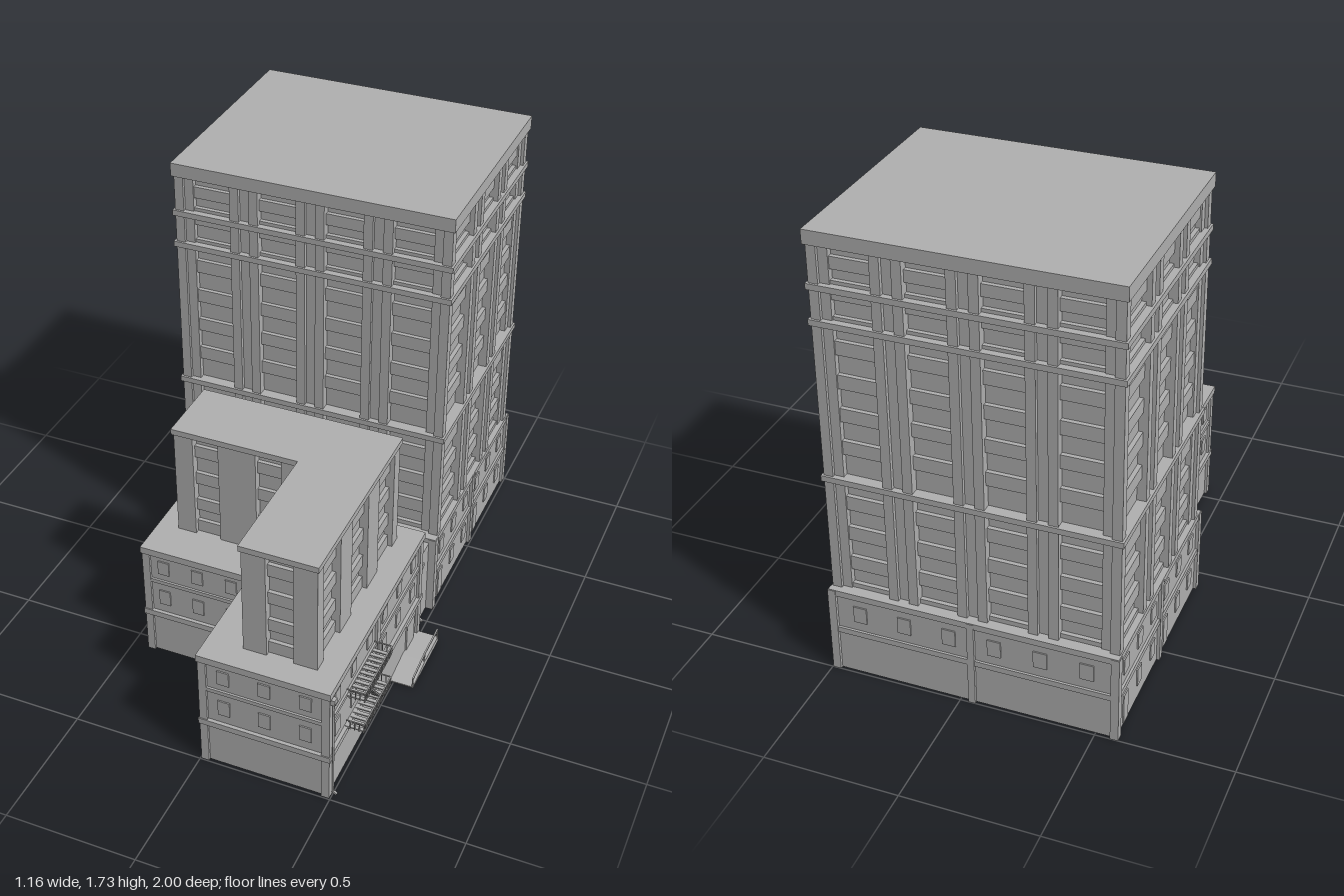
import * as THREE from 'three';

const stone = new THREE.MeshStandardMaterial({ color: 0xb0b0b0 });
stone.name = 'grey stone';

export function createModel() {
  const model = new THREE.Group();
  model.name = 'building';

  const section = (name) => {
    const g = new THREE.Group();
    g.name = name;
    model.add(g);
    return g;
  };
  // Box from its lower and upper limits
  const box = (parent, name, x0, x1, y0, y1, z0, z1) => {
    const m = new THREE.Mesh(new THREE.BoxGeometry(x1 - x0, y1 - y0, z1 - z0), stone);
    m.position.set((x0 + x1) / 2, (y0 + y1) / 2, (z0 + z1) / 2);
    m.name = name;
    parent.add(m);
    return m;
  };
  // Square bar between two points
  const bar = (parent, name, a, b, t) => {
    const p = new THREE.Vector3(...a), q = new THREE.Vector3(...b);
    const m = new THREE.Mesh(new THREE.BoxGeometry(t, t, p.distanceTo(q)), stone);
    m.position.copy(p).lerp(q, 0.5);
    m.lookAt(q);
    m.name = name;
    parent.add(m);
  };
  // Upright prism over a plan of [x, z] points, with an optional hollow
  const prism = (parent, name, plan, y0, y1, hollow) => {
    const flat = (pts) => pts.map(([x, z]) => new THREE.Vector2(x, -z));
    const s = new THREE.Shape(flat(plan));
    if (hollow) s.holes.push(new THREE.Path(flat(hollow)));
    const g = new THREE.ExtrudeGeometry(s, { depth: y1 - y0, bevelEnabled: false });
    g.rotateX(-Math.PI / 2);
    g.translate(0, y0, 0);
    const m = new THREE.Mesh(g, stone);
    m.name = name;
    parent.add(m);
  };
  // Plans run front, right, back, left so that walls face outward
  const rect = (x0, x1, z0, z1, o = 0) =>
    [[x0 + o, z1 - o], [x1 - o, z1 - o], [x1 - o, z0 + o], [x0 + o, z0 + o]];
  const ell = (x0, x1, xi, z0, zi, z1, o = 0) => [
    [x0 + o, zi - o], [xi + o, zi - o], [xi + o, z1 - o],
    [x1 - o, z1 - o], [x1 - o, z0 + o], [x0 + o, z0 + o]];
  // Calls fn for each wall with its length and a helper that places boxes on it
  const eachWall = (parent, plan, fn) => plan.forEach(([ax, az], i) => {
    const [bx, bz] = plan[(i + 1) % plan.length];
    const g = new THREE.Group();
    g.name = 'wall' + (i + 1);
    g.position.set((ax + bx) / 2, 0, (az + bz) / 2);
    g.rotation.y = Math.atan2(az - bz, bx - ax);
    parent.add(g);
    fn(Math.hypot(bx - ax, bz - az), (name, x, w, y0, y1, inset, depth) =>
      box(g, name, x - w / 2, x + w / 2, y0, y1, -inset - depth, -inset), i);
  });

  // Tower base, open underneath
  const base = section('towerBase');
  const basePlan = (o) => rect(-0.585, 0.497, -1, -0.073, o);
  prism(base, 'lowerWalls', basePlan(0.012), 0, 0.17, basePlan(0.035));
  prism(base, 'upperStorey', basePlan(0.012), 0.165, 0.345);
  prism(base, 'storeyBand', basePlan(0.003), 0.165, 0.187, basePlan(0.03));
  prism(base, 'topBand', basePlan(0.003), 0.323, 0.347);
  eachWall(base, basePlan(0), (len, put, side) => {
    for (const x of [-len / 2 + 0.013, 0, len / 2 - 0.013])
      put('post', x, 0.026, 0, 0.345, 0, 0.03);
    for (let i = 0; i < 6; i++) {
      const x = (i - 2.5) * len / 6.4;
      put('window', x, 0.05, 0.225, 0.29, 0.007, 0.008);
      if (side % 2) put('lowerWindow', x, 0.045, i % 3 ? 0.06 : 0.01, 0.13, 0.007, 0.008);
    }
  });

  // Tower shaft with pilasters, recessed bays and spandrels
  const tower = section('tower');
  const shaft = (o) => rect(-0.585, 0.497, -0.98, -0.1, o);
  prism(tower, 'core', shaft(0.042), 0.34, 1.7);
  prism(tower, 'cornice', shaft(0), 1.68, 1.732);
  for (const y of [0.79, 1.39, 1.52]) prism(tower, 'beltBand', shaft(0), y, y + 0.022);
  const spandrels = [[0.345, 0.365], [0.425, 0.48], [0.55, 0.605], [0.675, 0.73],
    [0.9, 0.953], [1.028, 1.08], [1.155, 1.208], [1.283, 1.335],
    [1.41, 1.425], [1.485, 1.52], [1.54, 1.555], [1.595, 1.64]];
  eachWall(tower, shaft(0.008), (len, put, side) => {
    const n = side % 2 ? 3 : 4, end = 0.07, mid = 0.11;
    const bay = (len - 2 * end - (n - 1) * mid) / n;
    for (const s of [-1, 1]) {
      put('cornerPilaster', s * (len / 2 - 0.0175), 0.035, 0.34, 1.69, 0, 0.035);
      put('cornerStrip', s * (len / 2 - 0.0525), 0.035, 0.34, 1.69, 0.012, 0.025);
    }
    for (let i = 0; i < n; i++) {
      const x = -len / 2 + end + bay / 2 + i * (bay + mid);
      for (const [y0, y1] of spandrels) put('spandrel', x, bay, y0, y1, 0.018, 0.02);
      if (i === n - 1) continue;
      const c = x + (bay + mid) / 2;
      put('pierStrip', c, 0.04, 0.34, 1.69, 0.015, 0.025);
      for (const s of [-1, 1]) put('pilaster', c + s * 0.0375, 0.035, 0.34, 1.69, 0, 0.035);
    }
  });

  // Link between tower and annex
  const link = section('link');
  box(link, 'linkBody', 0.02, 0.468, 0, 0.327, -0.09, 0.09);

  // L-shaped annex, open underneath
  const annex = section('annex');
  const lower = (o) => ell(-0.44, 0.5, 0, 0.07, 0.56, 1, o);
  prism(annex, 'groundWalls', lower(0.014), 0, 0.185, lower(0.04));
  prism(annex, 'middleStoreys', lower(0.014), 0.18, 0.48);
  prism(annex, 'storeyBand', lower(0), 0.178, 0.202, lower(0.035));
  prism(annex, 'thinBand', lower(0.006), 0.34, 0.356);
  prism(annex, 'cornice', lower(0), 0.472, 0.5);
  eachWall(annex, lower(0.004), (len, put, side) => {
    const posts = len > 0.7 ? 3 : 2;
    for (let i = 0; i < posts; i++)
      put('post', (i / (posts - 1) - 0.5) * (len - 0.028), 0.028, 0, 0.48, 0, 0.03);
    const n = Math.round(len / 0.15);
    for (let i = 0; i < n; i++) {
      const x = (i - (n - 1) / 2) * len / (n + 0.2);
      put('window', x, 0.045, 0.24, 0.305, 0.005, 0.008);
      put('window', x, 0.045, 0.385, 0.445, 0.005, 0.008);
      if (side === 4) put('groundWindow', x, 0.045, 0.07, 0.14, 0.005, 0.008);
    }
  });

  // Upper annex block with wide piers
  const upper = section('upperAnnex');
  const block = (o) => ell(-0.365, 0.42, 0.13, 0.137, 0.412, 0.912, o);
  prism(upper, 'core', block(0.04), 0.5, 0.94);
  prism(upper, 'roofCap', block(0), 0.934, 0.957);
  eachWall(upper, block(0.007), (len, put) => {
    const n = len > 0.7 ? 3 : len > 0.4 ? 2 : 1;
    const bay = len > 0.7 ? 0.15 : 0.1, step = len / n;
    for (let i = 0; i < n; i++) {
      const x = (i + 0.5) * step - len / 2, w = (step - bay) / 2;
      for (const s of [-1, 1]) put('pier', x + s * (bay + w) / 2, w, 0.5, 0.94, 0, 0.035);
      for (const y of [0.5, 0.6, 0.72, 0.84]) put('spandrel', x, bay, y, y + 0.05, 0.018, 0.02);
    }
  });

  // Fire escape with two railed balconies and a stair
  const escape = section('fireEscape');
  for (const y of [0.2, 0.348]) {
    for (let i = 0; i < 11; i++)
      box(escape, 'slat', 0.49, 0.562, y, y + 0.005, 0.58 + i * 0.0242, 0.594 + i * 0.0242);
    for (const x of [0.505, 0.56]) bar(escape, 'floorBeam', [x, y, 0.58], [x, y, 0.84], 0.005);
    bar(escape, 'handrail', [0.562, y + 0.038, 0.58], [0.562, y + 0.038, 0.84], 0.005);
    for (let i = 0; i <= 20; i++) {
      const z = 0.58 + i * 0.013;
      bar(escape, 'baluster', [0.562, y, z], [0.562, y + 0.038, z], 0.003);
    }
    for (const z of [0.58, 0.84]) {
      bar(escape, 'endRail', [0.495, y + 0.038, z], [0.562, y + 0.038, z], 0.004);
      for (const x of [0.51, 0.527, 0.544])
        bar(escape, 'endBaluster', [x, y, z], [x, y + 0.038, z], 0.003);
    }
  }
  for (const x of [0.523, 0.55])
    bar(escape, 'stairStringer', [x, 0.2, 0.65], [x, 0.348, 0.765], 0.005);
  for (let i = 1; i < 10; i++) {
    const y = 0.2 + i * 0.0148, z = 0.65 + i * 0.0115;
    box(escape, 'tread', 0.523, 0.55, y, y + 0.003, z - 0.006, z + 0.006);
  }

  // Entrance landing, ramp and rail
  const entrance = section('entranceRamp');
  const side = new THREE.Shape([[-0.37, 0], [-0.09, 0], [-0.09, 0.024], [-0.24, 0.024], [-0.37, 0.005]]
    .map(([a, b]) => new THREE.Vector2(a, b)));
  const rampGeo = new THREE.ExtrudeGeometry(side, { depth: 0.092, bevelEnabled: false });
  rampGeo.rotateY(Math.PI / 2);
  const ramp = new THREE.Mesh(rampGeo, stone);
  ramp.name = 'ramp';
  ramp.position.x = 0.486;
  entrance.add(ramp);
  const railX = 0.575;
  bar(entrance, 'rail', [railX, 0.062, 0.095], [railX, 0.062, 0.24], 0.006);
  bar(entrance, 'slopedRail', [railX, 0.062, 0.24], [railX, 0.043, 0.367], 0.006);
  for (const [z, y] of [[0.095, 0.064], [0.24, 0.064], [0.367, 0.045]])
    bar(entrance, 'railPost', [railX, 0, z], [railX, y, z], 0.005);
  box(entrance, 'door', 0.48, 0.492, 0.024, 0.14, 0.13, 0.21);

  // Drainpipes with hopper and foot
  const drains = section('drainpipes');
  for (const [x, z, top] of [[0.503, 0.978, 0.455], [0.474, 0.022, 0.29]]) {
    const pipe = new THREE.Mesh(new THREE.CylinderGeometry(0.004, 0.004, top - 0.02, 8), stone);
    pipe.position.set(x, top / 2 + 0.01, z);
    pipe.name = 'pipe';
    drains.add(pipe);
    box(drains, 'hopper', x - 0.008, x + 0.008, top - 0.01, top + 0.012, z - 0.011, z + 0.011);
    bar(drains, 'foot', [x, 0.024, z], [x + 0.014, 0.014, z], 0.008);
  }

  return model;
}
